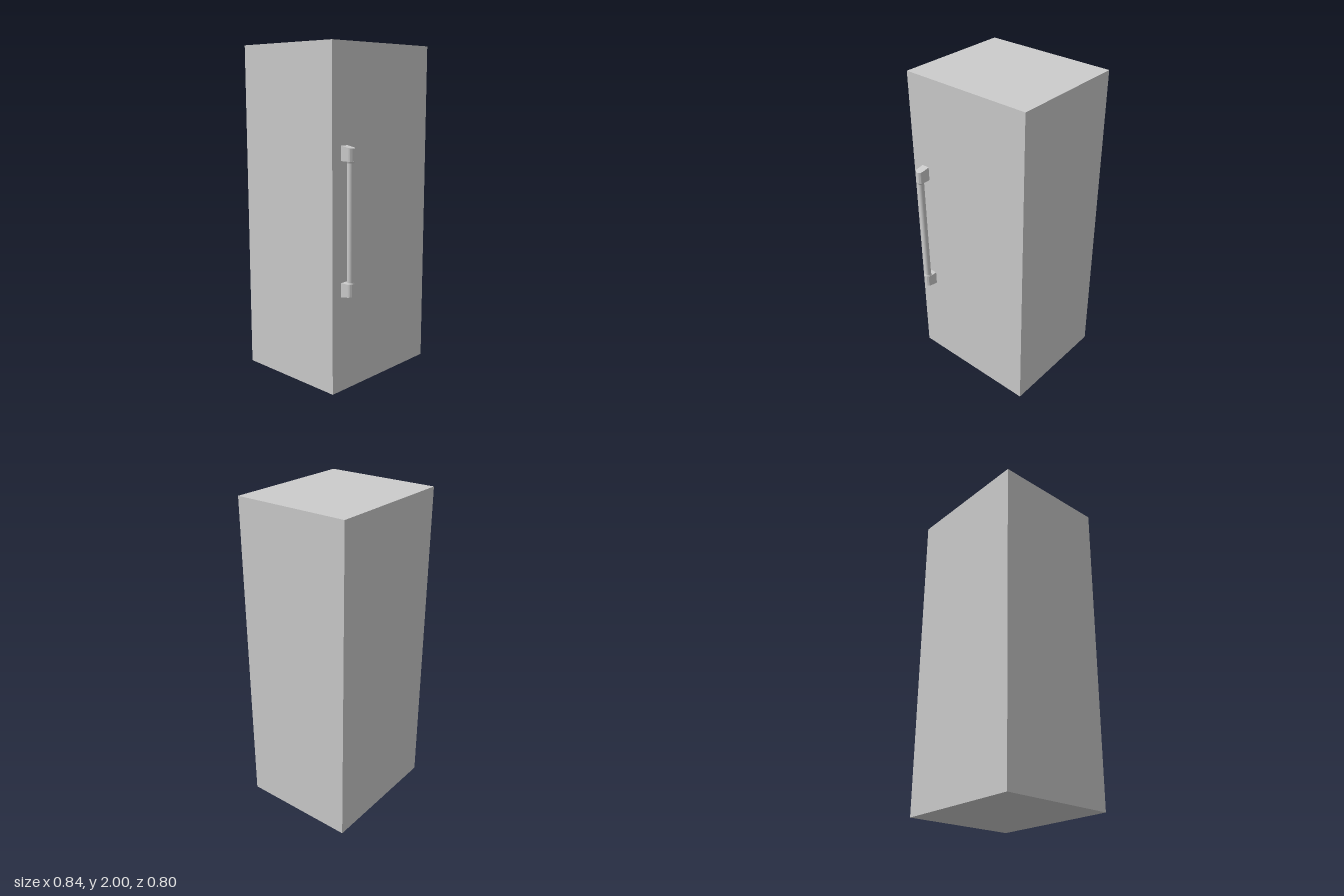
import * as THREE from 'three';
import { toCreasedNormals } from 'three/addons/utils/BufferGeometryUtils.js';

const material = new THREE.MeshStandardMaterial({ color: 0xcccccc });

const DOOR_Z = 0.33;      // front face of the cabinet
const HANDLE_X = -0.324;
const HANDLE_Y = 1.003;   // mid height of the handle
const HALF = 0.433;       // half length of the handle
const MOUNT_H = 0.085;
const BAR_Z = 0.048;      // bar axis, measured out from the door

function part(name, geometry) {
  const mesh = new THREE.Mesh(geometry, material);
  mesh.name = name;
  return mesh;
}

// Mount: rounded-nose block standing out from the door, outer end sloping inwards
function mountGeometry() {
  const w = 0.025, d = 0.071, r = 0.023;
  const s = new THREE.Shape();
  s.moveTo(-w, 0);
  s.lineTo(w, 0);
  s.lineTo(w, d - r);
  s.absarc(w - r, d - r, r, 0, Math.PI / 2);
  s.absarc(-w + r, d - r, r, Math.PI / 2, Math.PI);
  s.closePath();
  const g = new THREE.ExtrudeGeometry(s, { depth: MOUNT_H, bevelEnabled: false, curveSegments: 10 });
  g.rotateX(Math.PI / 2);
  const p = g.attributes.position;
  for (let i = 0; i < p.count; i++) {
    if (p.getY(i) > -0.001) p.setY(i, -0.18 * p.getZ(i));
  }
  return toCreasedNormals(g, 0.6);
}

// Mount and tapered collar for the upper end of the handle
function handleEnd(name) {
  const end = new THREE.Group();
  end.name = name;
  const mount = part('handleMount', mountGeometry());
  mount.position.y = HALF;
  const collar = part('handleCollar', new THREE.CylinderGeometry(0.0235, 0.0195, 0.01, 32));
  collar.position.set(0, HALF - MOUNT_H - 0.005, BAR_Z);
  end.add(mount, collar);
  return end;
}

export function createModel() {
  const model = new THREE.Group();
  model.name = 'refrigerator';

  // Plain cabinet
  const cabinet = part('cabinet', new THREE.BoxGeometry(0.84, 2, 0.732));
  cabinet.position.set(0, 1, DOOR_Z - 0.366);

  // Vertical bar handle with matching ends
  const handle = new THREE.Group();
  handle.name = 'handle';
  handle.position.set(HANDLE_X, HANDLE_Y, DOOR_Z);
  const bar = part('handleBar', new THREE.CylinderGeometry(0.0195, 0.0195, 2 * (HALF - MOUNT_H), 32));
  bar.position.z = BAR_Z;
  const lower = handleEnd('lowerHandleEnd');
  lower.rotation.z = Math.PI;
  handle.add(bar, handleEnd('upperHandleEnd'), lower);

  model.add(cabinet, handle);
  return model;
}
